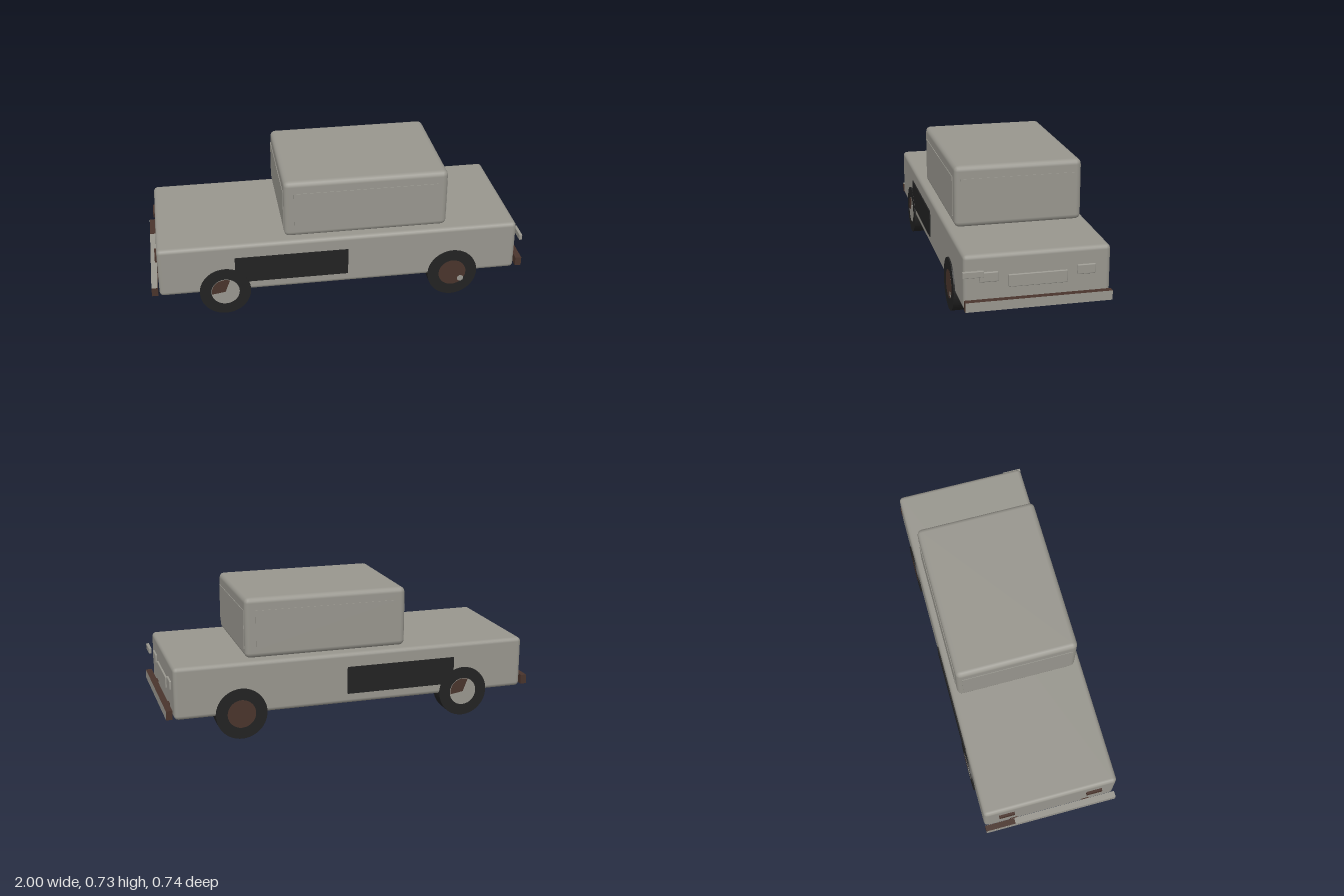
import * as THREE from 'three';
import { RoundedBoxGeometry } from 'three/addons/geometries/RoundedBoxGeometry.js';

const paint = new THREE.MeshStandardMaterial({ color: 0x98968e, name: 'grey paint' });
const black = new THREE.MeshStandardMaterial({ color: 0x222222, name: 'black rubber' });
const rust = new THREE.MeshStandardMaterial({ color: 0x49342c, name: 'rust brown' });

export function createModel() {
  const car = new THREE.Group();
  car.name = 'car';

  const add = (name, geometry, material, x, y, z, parent = car) => {
    const mesh = new THREE.Mesh(geometry, material);
    mesh.name = name;
    mesh.position.set(x, y, z);
    parent.add(mesh);
    return mesh;
  };
  // Boxes given by their extents: [x0, x1], [y0, y1], [z0, z1]
  const box = (name, material, [x0, x1], [y0, y1], [z0, z1], radius = 0) => {
    const size = [x1 - x0, y1 - y0, z1 - z0];
    const geometry = radius
      ? new RoundedBoxGeometry(...size, 2, radius)
      : new THREE.BoxGeometry(...size);
    return add(name, geometry, material, (x0 + x1) / 2, (y0 + y1) / 2, (z0 + z1) / 2);
  };

  // Lower body and cabin
  box('body', paint, [-0.96, 0.957], [0.13, 0.407], [-0.362, 0.362], 0.022);
  box('cabin', paint, [-0.292, 0.576], [0.412, 0.73], [-0.327, 0.327], 0.028);

  // Window panels on all four sides of the cabin
  box('windscreen', paint, [0.572, 0.579], [0.46, 0.665], [-0.298, 0.298]);
  box('rearWindow', paint, [-0.295, -0.288], [0.46, 0.665], [-0.298, 0.298]);
  for (const s of [1, -1]) {
    const z = s > 0 ? [0.323, 0.33] : [-0.33, -0.323];
    box('sideWindow', paint, [-0.24, 0.52], [0.46, 0.665], z);
  }

  // Dark panel on each flank
  for (const s of [1, -1]) {
    const z = s > 0 ? [0.359, 0.368] : [-0.368, -0.359];
    box('doorPanel', black, [-0.56, 0.04], [0.185, 0.332], z);
  }

  // Bumpers, with the box faces ordered +x, -x, +y, -y, +z, -z
  box('frontBumper', [paint, rust, rust, paint, rust, rust],
    [0.967, 1.0], [0.14, 0.188], [-0.362, 0.362]);
  box('rearBumper', [rust, paint, paint, paint, rust, rust],
    [-1.0, -0.967], [0.14, 0.188], [-0.362, 0.362]);
  box('rearBumperRust', rust, [-0.999, -0.968], [0.187, 0.19], [-0.362, -0.2]);
  // Bumper mounts
  for (const z of [-0.2, 0.2]) {
    box('frontMount', rust, [0.94, 0.975], [0.15, 0.178], [z - 0.02, z + 0.02]);
    box('rearMount', rust, [-0.975, -0.94], [0.15, 0.178], [z - 0.02, z + 0.02]);
  }

  // Lamps and number plate
  for (const z of [-0.24, 0.24]) {
    box('headlamp', paint, [0.95, 0.966], [0.271, 0.321], [z - 0.046, z + 0.046], 0.005);
    box('tailLamp', rust, [-0.972, -0.955], [0.295, 0.33], [z - 0.042, z + 0.042]);
  }
  box('numberPlate', paint, [0.95, 0.966], [0.237, 0.3], [-0.146, 0.146], 0.004);
  // Loose lamp bar at one corner
  box('looseLampBar', paint, [0.974, 0.99], [0.306, 0.338], [0.269, 0.372], 0.003);

  // Wheels: ring tyre with the hub flush in the middle, rusted patches outside
  const tyreShape = new THREE.Shape().absarc(0, 0, 0.135, 0, Math.PI * 2);
  tyreShape.holes.push(new THREE.Path().absarc(0, 0, 0.074, 0, Math.PI * 2, true));
  const tyre = new THREE.ExtrudeGeometry(tyreShape,
    { depth: 0.085, bevelEnabled: false, curveSegments: 28 });
  const hub = new THREE.CylinderGeometry(0.075, 0.075, 0.086, 28).rotateX(Math.PI / 2);
  const rustPatch = new THREE.CircleGeometry(0.073, 14, 1.2, 2.1);
  const barePatch = new THREE.CircleGeometry(0.018, 10);
  for (const x of [-0.616, 0.612]) {
    for (const s of [1, -1]) {
      const wheel = new THREE.Group();
      wheel.name = x > 0 ? 'frontWheel' : 'rearWheel';
      wheel.position.set(x, 0.135, s * 0.3265);
      if (s < 0) wheel.rotation.y = Math.PI;
      car.add(wheel);
      add('tyre', tyre, black, 0, 0, -0.0425, wheel);
      add('hub', hub, x > 0 ? rust : paint, 0, 0, 0, wheel);
      if (x < 0) add('hubRust', rustPatch, rust, 0, 0, 0.0445, wheel);
      else if (s > 0) add('hubBarePatch', barePatch, paint, 0.047, -0.04, 0.0445, wheel);
    }
  }
  return car;
}
